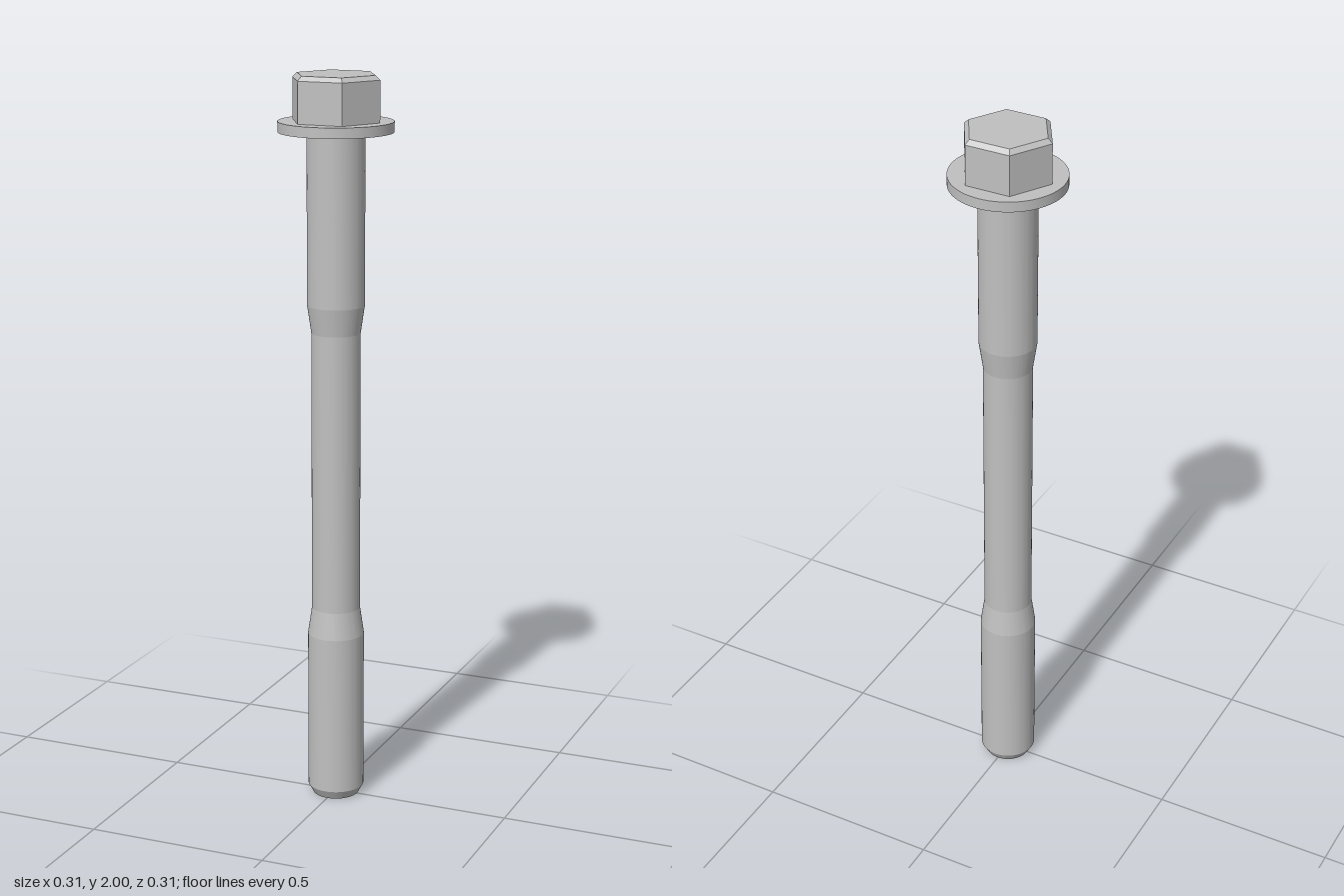
import * as THREE from 'three';
import { toCreasedNormals } from 'three/addons/utils/BufferGeometryUtils.js';

export function createModel() {
  const bolt = new THREE.Group();
  bolt.name = 'flangeBolt';

  const steel = new THREE.MeshStandardMaterial({ color: 0xc0c0c0 });
  steel.name = 'steel';

  const add = (name, geometry) => {
    const mesh = new THREE.Mesh(geometry, steel);
    mesh.name = name;
    bolt.add(mesh);
  };

  // Turned solid from [radius, height] pairs, bottom to top, with crisp rings
  const turned = (profile) => toCreasedNormals(
    new THREE.LatheGeometry(profile.map(([r, y]) => new THREE.Vector2(r, y)), 72), 0.11);

  // Hexagonal section with corners on the x axis
  const hex = (rTop, rBottom, y0, y1, openEnded) => new THREE.CylinderGeometry(
    rTop, rBottom, y1 - y0, 6, 1, openEnded, Math.PI / 6)
    .translate(0, (y0 + y1) / 2, 0).toNonIndexed();

  const flat = (geometry) => {
    geometry.computeVertexNormals();
    return geometry;
  };

  // Shank: chamfered tip, full-width ends and a slimmer waist
  add('shank', turned([
    [0, 0], [0.063, 0], [0.077, 0.025], [0.077, 0.47], [0.066, 0.545],
    [0.066, 1.315], [0.077, 1.39], [0.077, 1.855],
  ]));

  // Round washer flange
  add('flange', turned([[0, 1.85], [0.153, 1.85], [0.153, 1.878], [0, 1.878]]));

  // Hex head with a bevelled top edge
  add('hexHead', flat(hex(0.124, 0.124, 1.878, 1.988, true)));
  add('headBevel', flat(hex(0.111, 0.124, 1.988, 2, false)));

  return bolt;
}
